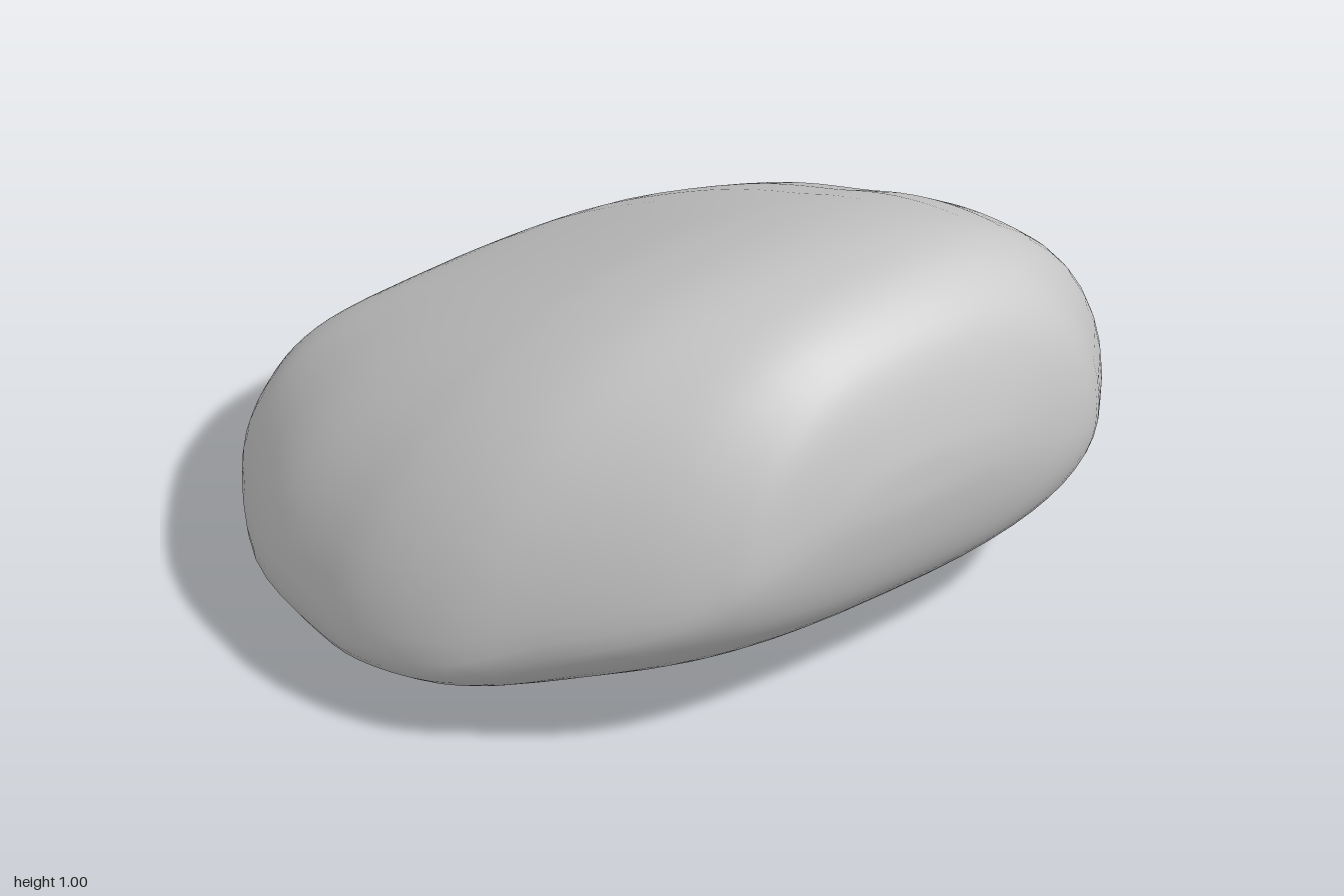
import * as THREE from 'three';
import { mergeVertices } from 'three/addons/utils/BufferGeometryUtils.js';

// Cross-sections along x: [x, top y, bottom y, front z, back z, front rim y, back rim y]
const SECTIONS = [
  [-0.93, 0.2, 0.2, 0, 0, 0.2, 0.2],
  [-0.922, 0.235, 0.165, 0.16, -0.16, 0.195, 0.205],
  [-0.89, 0.28, 0.13, 0.33, -0.29, 0.19, 0.22],
  [-0.83, 0.335, 0.1, 0.46, -0.5, 0.19, 0.23],
  [-0.68, 0.435, 0.06, 0.65, -0.765, 0.185, 0.235],
  [-0.36, 0.62, 0.02, 0.89, -0.95, 0.18, 0.24],
  [-0.05, 0.785, 0, 0.98, -0.99, 0.185, 0.265],
  [0.15, 0.875, 0.02, 0.99, -1, 0.19, 0.3],
  [0.36, 0.95, 0.05, 0.93, -0.96, 0.22, 0.35],
  [0.55, 0.99, 0.1, 0.8, -0.89, 0.31, 0.41],
  [0.71, 0.995, 0.17, 0.66, -0.76, 0.37, 0.45],
  [0.82, 0.93, 0.26, 0.53, -0.64, 0.43, 0.49],
  [0.88, 0.83, 0.37, 0.41, -0.46, 0.51, 0.55],
  [0.915, 0.68, 0.51, 0.18, -0.25, 0.58, 0.59],
  [0.92, 0.6, 0.6, -0.03, -0.03, 0.6, 0.6],
];

// One smooth curve per column, all sharing the same parameter
const column = (k) => new THREE.SplineCurve(SECTIONS.map((s) => new THREE.Vector2(s[0], s[k])));

const power = (v, n) => Math.sign(v) * Math.pow(Math.abs(v), 2 / n);

function stoneGeometry(rings, sides) {
  const curves = [1, 2, 3, 4, 5, 6].map(column);
  const positions = [];
  const index = [];
  for (let i = 0; i <= rings; i++) {
    const points = curves.map((c) => c.getPoint(i / rings));
    const [top, bottom, front, back, rimF, rimB] = points.map((p) => p.y);
    const x = points[0].x;
    // the top is broad and flat, more so towards the thin end
    const topWidth = 2.5 + 1.1 * Math.max(0, -x);
    for (let j = 0; j < sides; j++) {
      const a = (j / sides) * Math.PI * 2;
      const c = Math.cos(a);
      const s = Math.sin(a);
      // the flank slants more at the front than at the back
      const u = power(c, s < 0 ? 2.6 : topWidth);
      const v = power(s, s < 0 ? 2.5 : c > 0 ? 1.6 : 1.9);
      const z = (front + back) / 2 + (u * (front - back)) / 2;
      const rim = THREE.MathUtils.lerp(rimB, rimF, (u + 1) / 2);
      const y = rim + Math.abs(v) * ((s < 0 ? bottom : top) - rim);
      positions.push(x, y, z);
    }
  }
  for (let i = 0; i < rings; i++) {
    for (let j = 0; j < sides; j++) {
      const k = (j + 1) % sides;
      const a = i * sides + j;
      const c = i * sides + k;
      if (i > 0) index.push(a, a + sides, c);
      if (i < rings - 1) index.push(a + sides, c + sides, c);
    }
  }
  const geometry = new THREE.BufferGeometry();
  geometry.setAttribute('position', new THREE.Float32BufferAttribute(positions, 3));
  geometry.setIndex(index);
  // weld the two end points so the shading stays smooth
  const welded = mergeVertices(geometry, 1e-4);
  welded.computeVertexNormals();
  return welded;
}

export function createModel() {
  const group = new THREE.Group();
  group.name = 'stone';
  const body = new THREE.Mesh(stoneGeometry(56, 48), new THREE.MeshStandardMaterial({ color: 0xcccccc }));
  body.name = 'stoneBody';
  group.add(body);
  return group;
}
